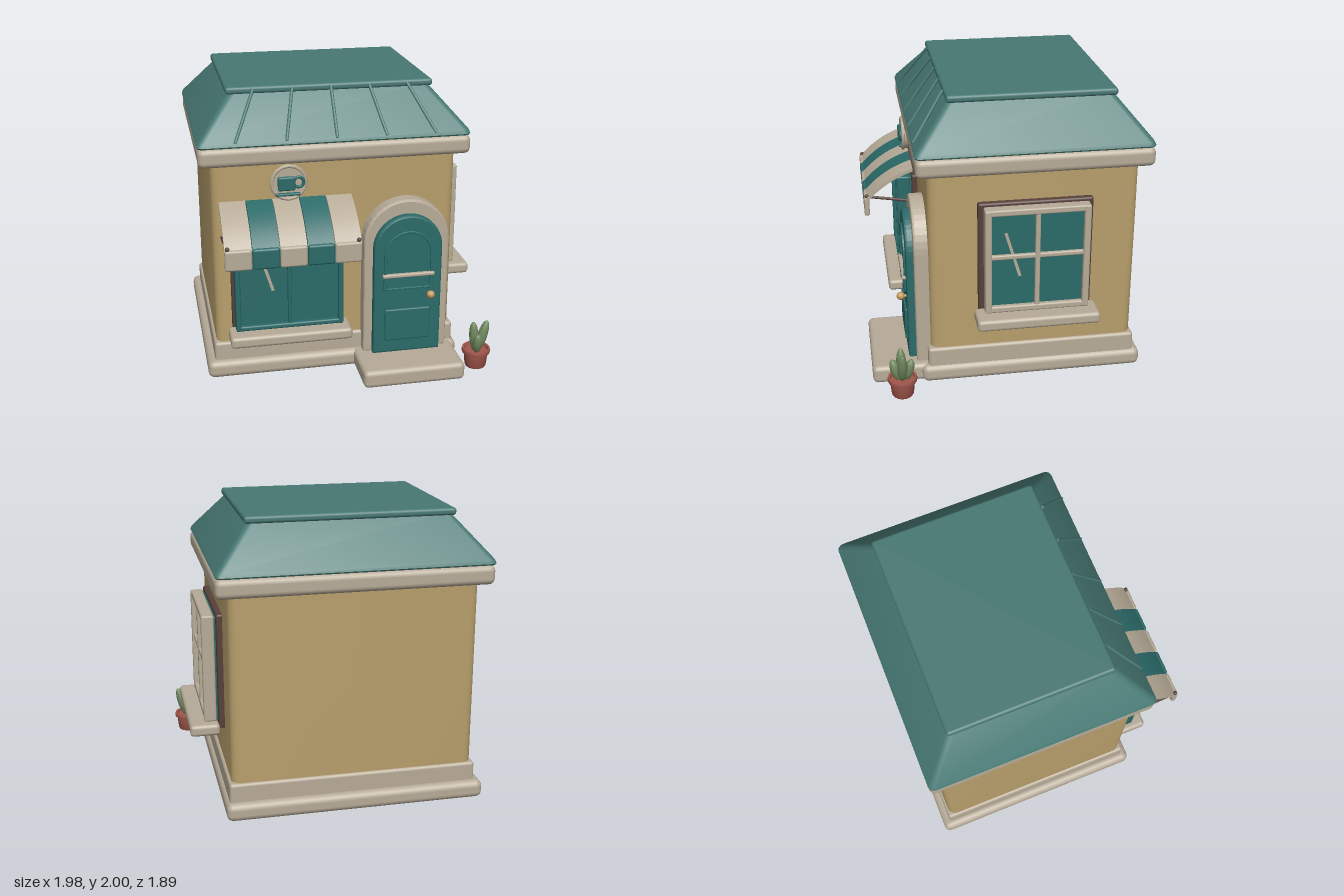
import * as THREE from 'three';
import { toCreasedNormals } from 'three/addons/utils/BufferGeometryUtils.js';
import { RoundedBoxGeometry } from 'three/addons/geometries/RoundedBoxGeometry.js';

const mat = (name, color) => new THREE.MeshStandardMaterial({ name, color });
const wall = mat('ochreWall', 0xb89f6c), cream = mat('creamTrim', 0xb7ab98);
const roofTeal = mat('roofTeal', 0x477873), teal = mat('deepTeal', 0x2a6a68);
const brown = mat('darkBrown', 0x57403a), clay = mat('terracotta', 0xa0564b);
const leaf = mat('cactusGreen', 0x71895f), gold = mat('brass', 0xc49a58);

function add(parent, name, geometry, material, x = 0, y = 0, z = 0) {
  const m = new THREE.Mesh(geometry, material);
  m.name = name;
  m.position.set(x, y, z);
  parent.add(m);
  return m;
}

// Rounded box given by its limits on each axis
function block(parent, name, material, [x0, x1], [y0, y1], [z0, z1], r = 0.01) {
  const g = new RoundedBoxGeometry(x1 - x0, y1 - y0, z1 - z0, 3, r);
  return add(parent, name, g, material, (x0 + x1) / 2, (y0 + y1) / 2, (z0 + z1) / 2);
}

// Rod between two points
function rod(parent, name, material, a, b, r, sides = 8) {
  const p = new THREE.Vector3(...a), q = new THREE.Vector3(...b), d = q.clone().sub(p);
  const m = add(parent, name, new THREE.CylinderGeometry(r, r, d.length(), sides), material);
  m.position.copy(p).add(q).multiplyScalar(0.5);
  m.quaternion.setFromUnitVectors(new THREE.Vector3(0, 1, 0), d.normalize());
  return m;
}

// Round-headed outline, centred on x = 0
function arch(path, r, y0, spring) {
  path.moveTo(-r, y0);
  path.lineTo(r, y0);
  path.lineTo(r, spring);
  path.absarc(0, spring, r, 0, Math.PI, false);
  path.lineTo(-r, y0);
  return path;
}

function extrude(shape, depth, bevel = 0) {
  return new THREE.ExtrudeGeometry(shape, {
    depth: depth - 2 * bevel, curveSegments: 10, bevelEnabled: bevel > 0,
    bevelThickness: bevel, bevelSize: bevel, bevelOffset: -bevel, bevelSegments: 2,
  }).translate(0, 0, bevel);
}

// Solid from stacked rounded rectangles: [y, x0, x1, z0, z1, cornerRadius]
function stack(levels) {
  const pos = [], idx = [], n = 20;
  for (const [y, x0, x1, z0, z1, r] of levels) {
    for (let i = 0; i < n; i++) {
      const c = Math.floor(i / 5), a = (c + (i % 5) / 4) * Math.PI / 2;
      const cx = c === 0 || c === 3 ? x1 - r : x0 + r, cz = c < 2 ? z1 - r : z0 + r;
      pos.push(cx + r * Math.cos(a), y, cz + r * Math.sin(a));
    }
  }
  for (let l = 0; l < levels.length - 1; l++) {
    for (let i = 0; i < n; i++) {
      const a = l * n + i, b = l * n + (i + 1) % n;
      idx.push(a, a + n, b, b, a + n, b + n);
    }
  }
  const top = (levels.length - 1) * n;
  for (let i = 1; i < n - 1; i++) idx.push(0, i, i + 1, top, top + i + 1, top + i);
  const g = new THREE.BufferGeometry();
  g.setAttribute('position', new THREE.Float32BufferAttribute(pos, 3));
  g.setIndex(idx);
  return toCreasedNormals(g, 0.6);
}

// Window facing +z, with its wall plane at z = 0
function makeWindow(name, o) {
  const w = new THREE.Group(), h = o.width / 2, { y0, y1, bar, front } = o;
  w.name = name;
  block(w, 'windowSurround', brown, [-0.383, 0.383], [y0 - 0.04, y1 + 0.015], [-0.01, 0.04], 0.015);
  block(w, 'windowSill', cream, [-0.413, 0.413], [y0 - 0.08, y0], [0.035, 0.235], 0.025);
  block(w, 'glass', teal, [-h + 0.01, h - 0.01], [y0, y1 - 0.01], [0.035, front - 0.035], 0.005);
  for (const s of [-1, 1]) {
    const x = s * (h - bar / 2);
    block(w, 'frameSide', o.frame, [x - bar / 2, x + bar / 2], [y0, y1], [0.05, front], 0.012);
  }
  for (const y of [y0, y1 - bar]) {
    block(w, 'frameRail', o.frame, [-h, h], [y, y + bar], [0.05, front - 0.004], 0.012);
  }
  block(w, 'mullion', o.frame, [-o.thin / 2, o.thin / 2], [y0, y1], [0.06, front - 0.008], 0.01);
  if (o.cross) {
    const y = (y0 + y1) / 2 + 0.03;
    block(w, 'crossBar', o.frame, [-h, h], [y - o.thin / 2, y + o.thin / 2], [0.06, front - 0.012], 0.01);
  }
  // Glint plate on the glass
  const [gx0, gy0, gx1, gy1] = o.glint;
  const g = add(w, 'glint', new THREE.BoxGeometry(0.02, Math.hypot(gx1 - gx0, gy1 - gy0), 0.009), cream,
    (gx0 + gx1) / 2, (gy0 + gy1) / 2, front - 0.032);
  g.rotation.z = -Math.atan2(gx1 - gx0, gy1 - gy0);
  return w;
}

function makeDoor() {
  const d = new THREE.Group();
  d.name = 'door';
  const surround = arch(new THREE.Shape(), 0.298, 0.12, 0.937);
  surround.holes.push(arch(new THREE.Path(), 0.225, 0.14, 0.9));
  add(d, 'doorSurround', extrude(surround, 0.11, 0.015), cream, 0, 0, 0.525);
  add(d, 'doorLeaf', extrude(arch(new THREE.Shape(), 0.238, 0.125, 0.9), 0.13, 0.015), teal, 0, 0, 0.555);
  const ring = arch(new THREE.Shape(), 0.172, 0.605, 0.86);
  ring.holes.push(arch(new THREE.Path(), 0.152, 0.62, 0.86));
  add(d, 'upperPanelRim', extrude(ring, 0.016, 0.004), teal, 0, 0, 0.682);
  block(d, 'lowerPanel', teal, [-0.16, 0.16], [0.225, 0.46], [0.675, 0.7], 0.01);
  block(d, 'doorBar', cream, [-0.182, 0.182], [0.7, 0.727], [0.68, 0.712], 0.01);
  add(d, 'doorKnob', new THREE.SphereGeometry(0.028, 16, 12), gold, 0.153, 0.565, 0.723);
  rod(d, 'knobStem', gold, [0.153, 0.565, 0.68], [0.153, 0.565, 0.72], 0.012);
  d.position.x = 0.396;
  return d;
}

function makeAwning() {
  const a = new THREE.Group();
  a.name = 'awning';
  // Curved canopy section, drawn as (z, y) and pushed along x
  const s = new THREE.Shape();
  s.moveTo(0.575, 1.285);
  s.quadraticCurveTo(0.775, 1.225, 0.915, 1.065);
  s.lineTo(0.895, 1.055);
  s.quadraticCurveTo(0.765, 1.2, 0.575, 1.262);
  const step = 0.178;
  for (let i = 0; i < 5; i++) {
    const x = -0.87 + i * step, m = i % 2 ? teal : cream;
    const g = toCreasedNormals(extrude(s, step - 0.004).rotateY(-Math.PI / 2), 0.5);
    add(a, 'canopyStripe', g, m, x + step - 0.002);
    block(a, 'valance', m, [x + 0.001, x + step - 0.001], [0.937, 1.077], [0.888, 0.925], 0.016);
  }
  for (const x of [-0.85, 0]) {
    rod(a, 'awningArm', brown, [x, 1.02, 0.53], [x, 1.083, 0.9], 0.011);
    add(a, 'armEnd', new THREE.SphereGeometry(0.015, 8, 6), brown, x, 1.085, 0.905);
  }
  return a;
}

function makeSign() {
  const s = new THREE.Group();
  s.name = 'hangingSign';
  add(s, 'signDisc', new THREE.CylinderGeometry(0.115, 0.115, 0.04, 16).rotateX(Math.PI / 2), cream);
  add(s, 'signRim', new THREE.TorusGeometry(0.113, 0.013, 8, 16), cream, 0, 0, 0.014);
  block(s, 'cup', teal, [-0.075, 0.04], [-0.05, 0.045], [0.015, 0.045], 0.012);
  add(s, 'cupHandle', new THREE.TorusGeometry(0.034, 0.011, 8, 14), teal, 0.062, 0.005, 0.03);
  block(s, 'saucer', teal, [-0.09, 0.075], [-0.085, -0.067], [0.015, 0.045], 0.008);
  s.position.set(-0.407, 1.403, 0.597);
  return s;
}

function makePlant() {
  const p = new THREE.Group();
  p.name = 'pottedCactus';
  const profile = [[0, 0], [0.068, 0], [0.075, 0.012], [0.084, 0.102], [0.097, 0.107], [0.101, 0.122],
    [0.097, 0.139], [0.084, 0.139], [0.078, 0.118], [0, 0.118]].map(([x, y]) => new THREE.Vector2(x, y));
  add(p, 'pot', toCreasedNormals(new THREE.LatheGeometry(profile, 20), 0.6), clay);
  // Pads leaning away from the centre: [base x, base z, lean x, lean z, height]
  for (const [x, z, lx, lz, h] of [[-0.012, 0, -0.015, 0.005, 0.23], [0.02, 0, 0.045, 0, 0.235],
    [-0.005, 0.03, -0.005, 0.03, 0.16], [0, -0.03, 0.005, -0.03, 0.16]]) {
    const g = new THREE.SphereGeometry(1, 12, 10).scale(0.034, h / 2, 0.034);
    const pad = add(p, 'cactusPad', g, leaf, x + lx / 2, 0.11 + h / 2, z + lz / 2);
    pad.quaternion.setFromUnitVectors(new THREE.Vector3(0, 1, 0), new THREE.Vector3(lx, h * 0.7, lz).normalize());
  }
  p.position.set(0.886, 0, 0.752);
  return p;
}

export function createModel() {
  const model = new THREE.Group();
  model.name = 'cafe';

  // Walls, base and cornice
  add(model, 'walls', stack([[0.2, -0.91, 0.745, -0.86, 0.54, 0.06], [1.56, -0.91, 0.745, -0.86, 0.54, 0.06]]), wall);
  block(model, 'foundation', cream, [-0.98, 0.79], [0, 0.125], [-0.928, 0.605], 0.045);
  block(model, 'plinth', cream, [-0.928, 0.765], [0.1, 0.252], [-0.877, 0.56], 0.022);
  block(model, 'doorStep', cream, [0.04, 0.75], [0, 0.127], [0.5, 0.943], 0.035);
  block(model, 'cornice', cream, [-0.99, 0.828], [1.523, 1.652], [-0.943, 0.615], 0.04);

  // Hipped roof with a flat cap
  add(model, 'roof', stack([
    [1.655, -0.99, 0.82, -0.938, 0.614, 0.04], [1.665, -0.996, 0.826, -0.944, 0.62, 0.04],
    [1.69, -0.985, 0.815, -0.933, 0.609, 0.04], [1.965, -0.75, 0.58, -0.7, 0.372, 0.04],
  ]), roofTeal);
  block(model, 'roofCap', roofTeal, [-0.78, 0.612], [1.948, 1.997], [-0.73, 0.392], 0.02);
  for (let i = -2; i <= 2; i++) {
    rod(model, 'roofRib', roofTeal, [-0.083 + i * 0.333, 1.685, 0.61], [-0.085 + i * 0.258, 1.982, 0.396], 0.011);
  }

  // Openings
  const shopWindow = makeWindow('frontWindow', {
    width: 0.735, y0: 0.385, y1: 1.195, bar: 0.035, thin: 0.025, front: 0.145, frame: teal,
    glint: [-0.2, 0.95, -0.11, 0.66],
  });
  shopWindow.position.set(-0.42, 0, 0.54);
  const sideWindow = makeWindow('sideWindow', {
    width: 0.7, y0: 0.56, y1: 1.305, bar: 0.045, thin: 0.033, front: 0.135, frame: cream, cross: true,
    glint: [-0.21, 1.13, -0.115, 0.815],
  });
  sideWindow.position.set(0.745, 0, -0.165);
  sideWindow.rotation.y = Math.PI / 2;

  model.add(shopWindow, sideWindow, makeDoor(), makeAwning(), makeSign(), makePlant());
  return model;
}
